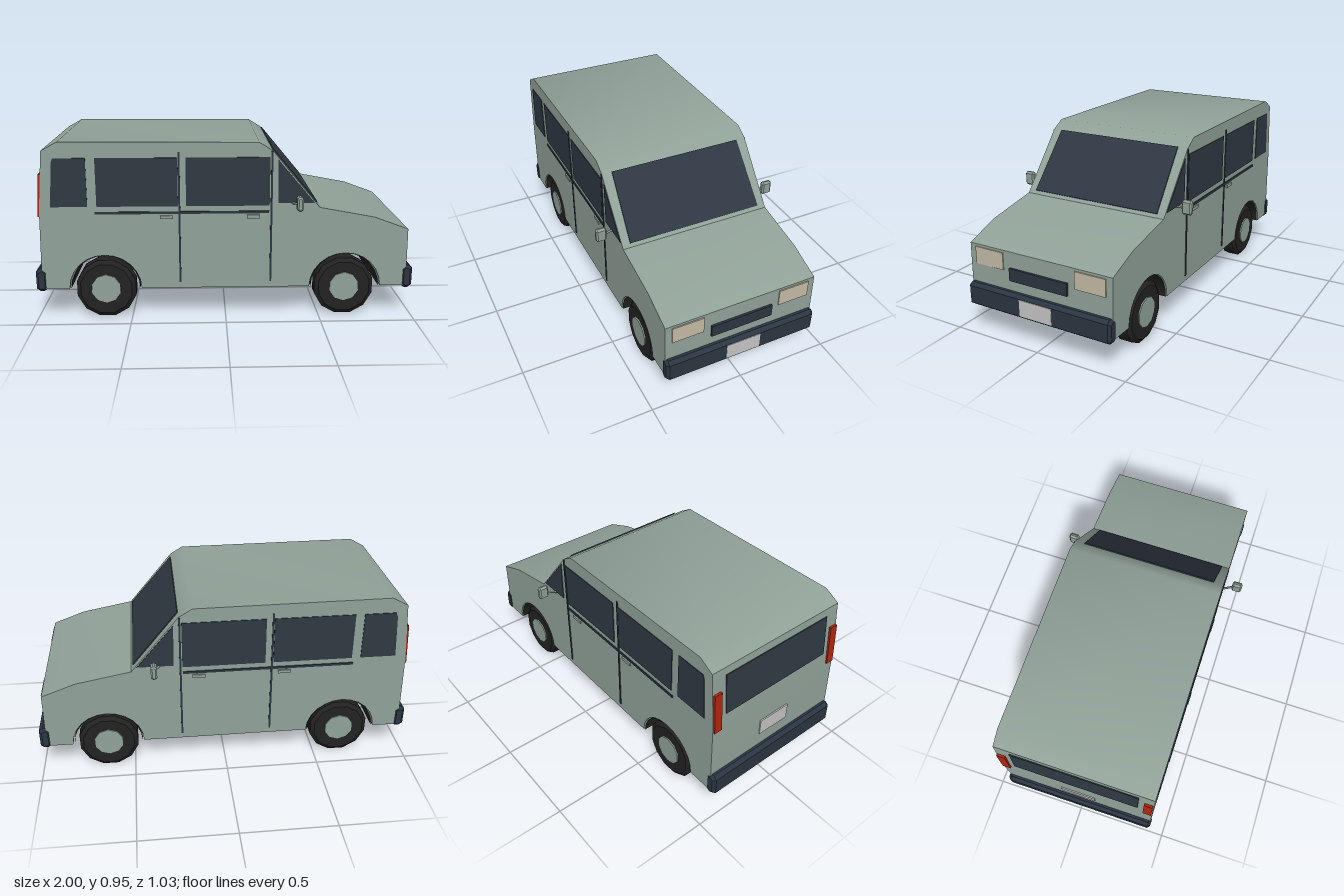
import * as THREE from 'three';
import { toCreasedNormals } from 'three/addons/utils/BufferGeometryUtils.js';

const HALF = 0.415, AXLE = 0.635, SILL = 0.17, ARCH = 0.19;

const mat = (name, color, side = THREE.FrontSide) => {
  const m = new THREE.MeshStandardMaterial({ color, side });
  m.name = name;
  return m;
};

const poly = (pts) => new THREE.Shape(pts.map(([x, y]) => new THREE.Vector2(x, y)));

// Box with cut corners and bevelled faces
function chamferBox(w, h, d, c) {
  const a = w / 2 - c, b = h / 2 - c, k = c * 0.8;
  const shape = poly([[-a, -b - c + k], [-a + k, -b - c], [a - k, -b - c], [a, -b - c + k],
    [a, b + c - k], [a - k, b + c], [-a + k, b + c], [-a, b + c - k]].map(([x, y]) => [x, y * b / (b + c)]));
  const g = new THREE.ExtrudeGeometry(shape, {
    depth: d - 2 * c, bevelThickness: c, bevelSize: c, bevelSegments: 1,
  });
  g.center();
  return g;
}

export function createModel() {
  const car = new THREE.Group();
  car.name = 'van';
  const paint = mat('bodyPaint', 0x90a198);
  const glass = mat('darkGlass', 0x2f3842);
  const trim = mat('bumperTrim', 0x2b3541);
  const rubber = mat('rubber', 0x222222, THREE.DoubleSide);
  const lamp = mat('headlightLens', 0xc4baa6);
  const red = mat('tailLightRed', 0xb0240f);
  const plateGrey = mat('plateGrey', 0xc4c4c4);

  const add = (name, geo, m, x = 0, y = 0, z = 0) => {
    const mesh = new THREE.Mesh(geo, m);
    mesh.name = name;
    mesh.position.set(x, y, z);
    car.add(mesh);
    return mesh;
  };
  const box = (name, m, w, h, d, x, y, z) => add(name, new THREE.BoxGeometry(w, h, d), m, x, y, z);

  // Body: side profile with wheel arches, extruded across the width
  const arch = (cx) => Array.from({ length: 13 }, (_, i) => {
    const a = Math.PI * i / 12;
    return [cx + ARCH * Math.cos(a), SILL + 0.185 * Math.sin(a)];
  });
  const profile = [
    [-0.97, SILL], [-0.96, 0.585], [-0.933, 0.91], [-0.85, 0.955], [0.17, 0.948], [0.24, 0.905],
    [0.49, 0.605], [0.78, 0.55], [0.96, 0.483], [0.965, SILL],
    ...arch(AXLE), ...arch(-AXLE),
  ].reverse();
  const bodyGeo = new THREE.ExtrudeGeometry(poly(profile), { depth: HALF * 2, bevelEnabled: false });
  bodyGeo.translate(0, 0, -HALF);
  add('body', toCreasedNormals(bodyGeo, 0.65), paint);

  // Wheel arch linings
  for (const s of [-1, 1]) {
    const g = new THREE.CylinderGeometry(0.182, 0.182, HALF * 2 - 0.004, 12, 1, true, Math.PI / 2, Math.PI);
    add('archLining', g.rotateX(Math.PI / 2), rubber, s * AXLE, SILL, 0);
  }

  // Wheels
  const tyreProfile = [[0, -0.05], [0.14, -0.05], [0.162, -0.034], [0.162, 0.034], [0.14, 0.05], [0, 0.05]]
    .map(([r, y]) => new THREE.Vector2(r, y));
  const tyreGeo = toCreasedNormals(
    new THREE.LatheGeometry(tyreProfile, 12, Math.PI / 12).rotateX(Math.PI / 2), 0.6);
  const hubGeo = new THREE.CylinderGeometry(0.08, 0.08, 0.114, 10).rotateX(Math.PI / 2);
  for (const sx of [-1, 1]) {
    for (const sz of [-1, 1]) {
      add('tyre', tyreGeo, rubber, sx * AXLE, 0.16, sz * 0.35);
      add('hubCap', hubGeo, paint, sx * AXLE, 0.163, sz * 0.35);
    }
  }

  // Side windows, door gaps, waist trim, handles and mirrors
  const windows = {
    rearQuarterWindow: [[-0.9, 0.618], [-0.712, 0.618], [-0.712, 0.872], [-0.875, 0.872], [-0.885, 0.85]],
    rearDoorWindow: [[-0.665, 0.618], [-0.247, 0.618], [-0.247, 0.872], [-0.665, 0.872]],
    frontDoorWindow: [[-0.205, 0.618], [0.227, 0.618], [0.227, 0.872], [-0.205, 0.872]],
    frontQuarterWindow: [[0.272, 0.63], [0.462, 0.63], [0.268, 0.86]],
  };
  for (const s of [-1, 1]) {
    for (const [name, pts] of Object.entries(windows)) {
      const g = new THREE.ExtrudeGeometry(poly(pts), { depth: 0.006, bevelEnabled: false });
      add(name, g, glass, 0, 0, s * (HALF + 0.0005) - 0.003);
    }
    for (const x of [-0.24, 0.237]) box('doorGap', trim, 0.01, 0.7, 0.008, x, 0.552, s * HALF);
    box('waistTrim', trim, 0.9, 0.013, 0.01, -0.225, 0.584, s * HALF);
    for (const x of [-0.307, 0.143]) box('doorHandle', paint, 0.066, 0.018, 0.016, x, 0.56, s * HALF);

    add('mirror', chamferBox(0.032, 0.076, 0.055, 0.008), paint, 0.375, 0.645, s * 0.487);
    const arm = new THREE.LineCurve3(
      new THREE.Vector3(0.345, 0.628, s * 0.41), new THREE.Vector3(0.373, 0.64, s * 0.47));
    arm.arcLengthDivisions = 2;
    add('mirrorArm', new THREE.TubeGeometry(arm, 1, 0.006, 6), paint);
  }
  // Hidden-side handles in the waist gap are covered by the same mirrored loop

  // Windscreen, laid on the slope
  const screenShape = poly([[-0.372, -0.185], [0.372, -0.185], [0.361, 0.185], [-0.361, 0.185]]);
  const screen = add('windscreen',
    new THREE.ExtrudeGeometry(screenShape, { depth: 0.006, bevelEnabled: false }),
    glass, 0.359, 0.763, 0);
  screen.rotation.set(-0.695, Math.PI / 2, 0, 'YXZ');

  // Rear window, leaning with the tailgate
  const rear = box('rearWindow', glass, 0.67, 0.225, 0.008, -0.947, 0.755, 0);
  rear.rotation.set(-0.083, -Math.PI / 2, 0, 'YXZ');

  // Bumpers and number plates
  const bumper = chamferBox(0.06, 0.125, 0.84, 0.014);
  add('frontBumper', bumper, trim, 0.968, 0.218, 0);
  add('rearBumper', bumper, trim, -0.97, 0.218, 0);
  box('frontPlate', plateGrey, 0.008, 0.087, 0.19, 0.997, 0.22, 0);
  box('rearPlate', plateGrey, 0.008, 0.09, 0.19, -0.966, 0.4, 0);

  // Grille and lights
  box('grille', trim, 0.016, 0.066, 0.34, 0.965, 0.368, 0);
  for (const s of [-1, 1]) {
    box('headlight', lamp, 0.008, 0.09, 0.17, 0.962, 0.425, s * 0.295);
    const tail = box('tailLight', red, 0.016, 0.225, 0.045, -0.954, 0.677, s * 0.388);
    tail.rotation.z = -0.06;
  }

  return car;
}
